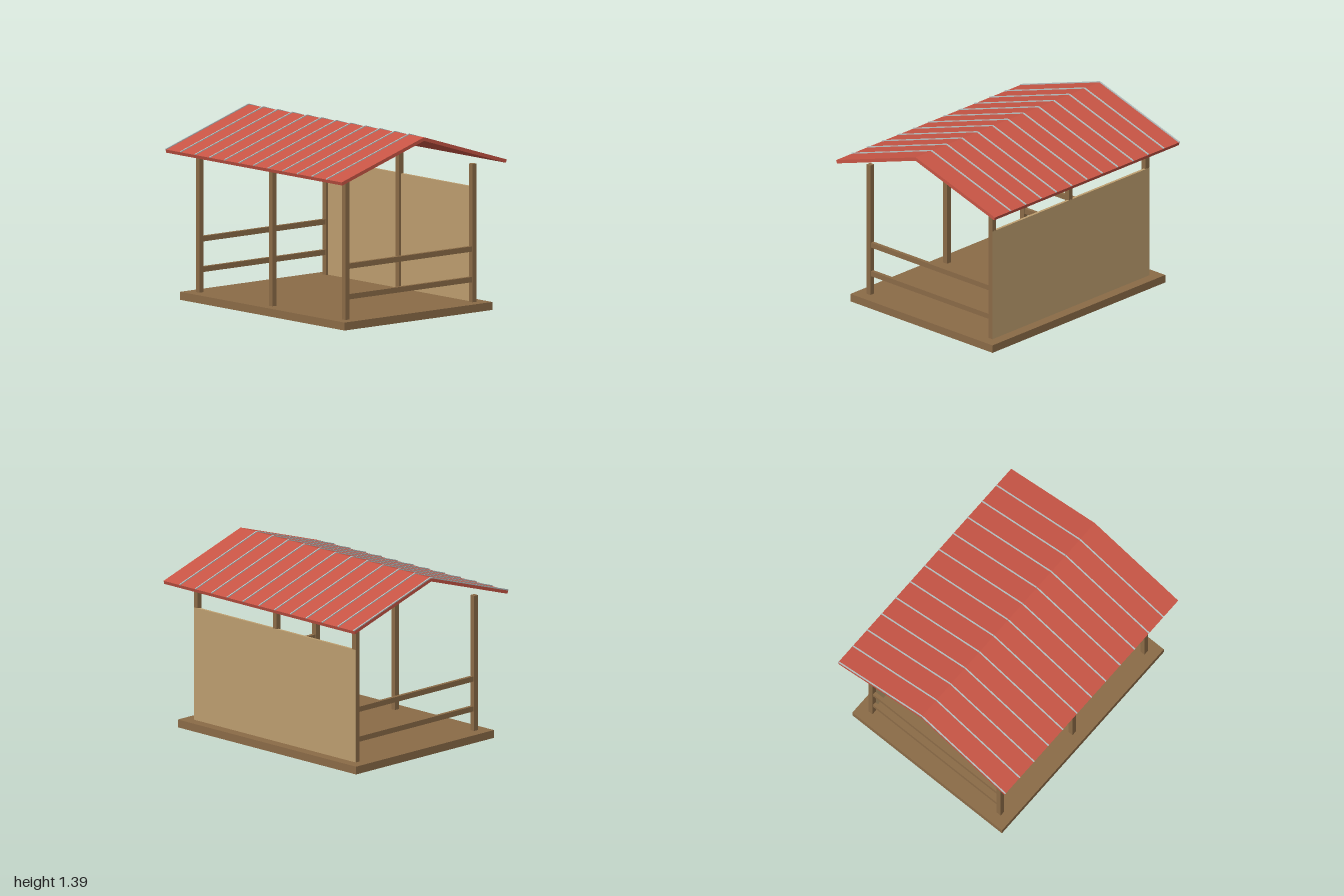
import * as THREE from 'three';

export function createModel() {
  const model = new THREE.Group();
  model.name = 'shelter';

  const material = (name, color) => {
    const m = new THREE.MeshStandardMaterial({ color });
    m.name = name;
    return m;
  };
  const wood = material('brown wood', 0x8b6b47);
  const panel = material('tan panel', 0xbd9e6f);
  const red = material('red roofing', 0xc85545);
  const metal = material('pale metal', 0xb8c0c0);

  const box = (name, mat, size, position, parent = model) => {
    const mesh = new THREE.Mesh(new THREE.BoxGeometry(...size), mat);
    mesh.name = name;
    mesh.position.set(...position);
    parent.add(mesh);
    return mesh;
  };

  // Floor slab
  box('floor', wood, [1.87, 0.06, 1.45], [0, 0.03, 0]);

  // Three posts along the front and three along the back
  const postX = 0.83, postZ = 0.622, postSize = 0.04;
  for (const z of [-postZ, postZ])
    for (const x of [-postX, 0, postX])
      box('post', wood, [postSize, 1.04, postSize], [x, 0.58, z]);

  // Back wall, just proud of the outer post faces
  box('backWall', panel, [1.698, 0.865, 0.021], [0, 0.4925, -0.6325]);

  // Two rails on each open side
  for (const x of [-postX, postX])
    for (const y of [0.23, 0.46])
      box('sideRail', wood, [0.028, 0.04, 1.21], [x, y, 0]);

  // Roof: two tilted slabs meeting at the ridge, with raised seams
  const ridgeY = 1.385, eaveY = 1.132, eaveZ = 0.81;
  const length = Math.hypot(eaveZ, ridgeY - eaveY);
  const tilt = Math.atan2(ridgeY - eaveY, eaveZ);
  for (const side of [1, -1]) {
    const slope = new THREE.Group();
    slope.name = side > 0 ? 'frontRoofSlope' : 'backRoofSlope';
    slope.position.y = ridgeY;
    slope.rotation.x = side * tilt;
    model.add(slope);
    box('roofSheet', red, [2, 0.026, length], [0, -0.013, side * length / 2], slope);
    for (let i = 0; i < 12; i++)
      box('roofSeam', metal, [0.01, 0.009, length], [-0.995 + i * 0.1658, 0.0025, side * length / 2], slope);
  }

  return model;
}
